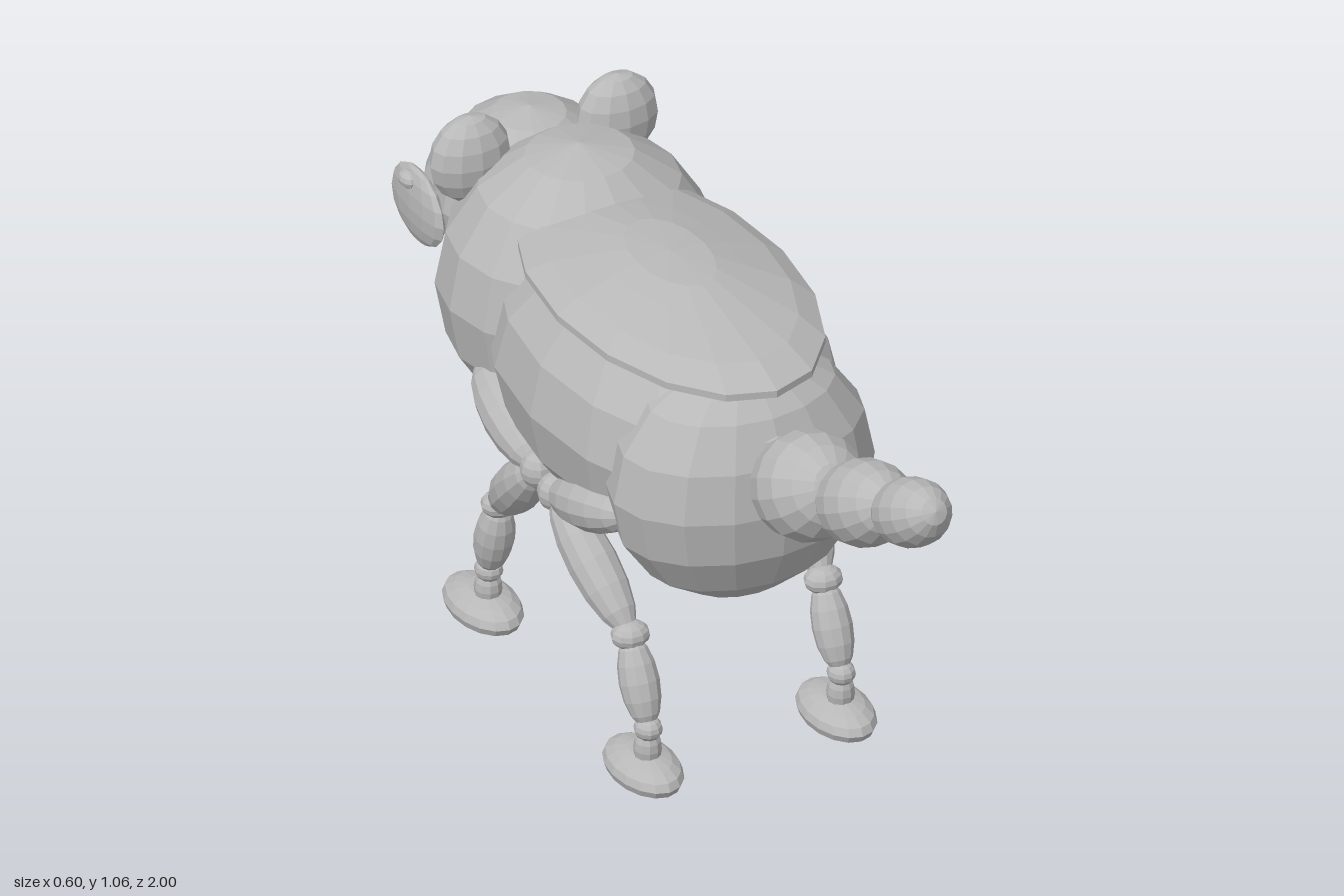
import * as THREE from 'three';

const grey = new THREE.MeshStandardMaterial({ color: 0xb8b8b8, flatShading: true });
grey.name = 'grey';

// Ellipsoid with vertical poles: centre and half sizes
function blob(parent, name, pos, radii, w = 16, h = 8) {
  const mesh = new THREE.Mesh(new THREE.SphereGeometry(1, w, h), grey);
  mesh.name = name;
  mesh.position.set(...pos);
  mesh.scale.set(...radii);
  parent.add(mesh);
  return mesh;
}

// Spindle: an ellipsoid whose poles lie on the two given points
function spindle(parent, name, from, to, radius, w = 12, h = 8) {
  const a = new THREE.Vector3(...from), b = new THREE.Vector3(...to);
  const axis = b.clone().sub(a);
  const mid = a.add(b).multiplyScalar(0.5);
  const mesh = blob(parent, name, mid.toArray(), [radius, axis.length() / 2, radius], w, h);
  mesh.quaternion.setFromUnitVectors(new THREE.Vector3(0, 1, 0), axis.normalize());
  return mesh;
}

export function createModel() {
  const model = new THREE.Group();
  model.name = 'animal';

  // Body
  blob(model, 'rump', [0, 0.66, 0.165], [0.275, 0.265, 0.19]);
  blob(model, 'belly', [0, 0.7, -0.13], [0.3, 0.285, 0.49]);
  blob(model, 'chest', [0, 0.733, -0.49], [0.283, 0.298, 0.265]);

  // Domed saddle on the back
  const profile = [[0, 0.9], [0.9, 0.892], [1, 0.905], [1, 0.92], [0.83, 0.948], [0.5, 0.975], [0.3, 0.99], [0, 0.995]];
  const saddle = new THREE.Mesh(
    new THREE.LatheGeometry(profile.map(p => new THREE.Vector2(...p)), 16), grey);
  saddle.name = 'saddle';
  saddle.scale.set(0.245, 1, 0.435);
  saddle.position.z = -0.12;
  model.add(saddle);

  // Head
  const head = new THREE.Group();
  head.name = 'head';
  model.add(head);
  blob(head, 'skull', [0, 0.81, -0.695], [0.188, 0.19, 0.19]);
  blob(head, 'snout', [0, 0.75, -0.87], [0.12, 0.07, 0.12], 16, 8);
  blob(head, 'lowerJaw', [0, 0.675, -0.87], [0.095, 0.022, 0.08], 12, 8);
  blob(head, 'nose', [0, 0.772, -0.968], [0.036, 0.032, 0.032], 12, 8);

  for (const s of [1, -1]) {
    const side = s > 0 ? 'left' : 'right';
    blob(head, side + 'Ear', [s * 0.16, 0.963, -0.637], [0.086, 0.094, 0.055], 12, 8);
    blob(head, side + 'Cheek', [s * 0.19, 0.777, -0.79], [0.022, 0.08, 0.103], 12, 8);
    blob(head, side + 'Eye', [s * 0.204, 0.83, -0.807], [0.018, 0.018, 0.026], 10, 6);
  }

  // Legs: points are [y, z] for the outer limb end, hip, knee, ankle and foot
  const legs = {
    Hind: { limb: [0.605, 0.14], hip: [0.513, -0.13], knee: [0.312, 0.11], ankle: [0.14, 0.183], foot: 0.163 },
    Fore: { limb: [0.615, -0.46], hip: [0.525, -0.2], knee: [0.312, -0.42], ankle: [0.135, -0.467], foot: -0.49 },
  };
  for (const s of [1, -1]) {
    for (const [label, p] of Object.entries(legs)) {
      const leg = new THREE.Group();
      leg.name = (s > 0 ? 'left' : 'right') + label + 'Leg';
      model.add(leg);
      const limb = [s * 0.23, ...p.limb], hip = [s * 0.245, ...p.hip];
      const knee = [s * 0.21, ...p.knee], ankle = [s * 0.21, ...p.ankle];
      spindle(leg, 'shoulder', limb, hip, 0.055);
      blob(leg, 'hipJoint', hip, [0.036, 0.04, 0.036], 10, 8);
      spindle(leg, 'thigh', hip, knee, 0.05);
      blob(leg, 'knee', knee, [0.04, 0.028, 0.034], 10, 8);
      spindle(leg, 'shin', knee, ankle, 0.04);
      blob(leg, 'ankle', ankle, [0.028, 0.025, 0.03], 10, 8);
      spindle(leg, 'pastern', ankle, [s * 0.21, 0.05, p.ankle[1] - 0.005], 0.028, 10, 8);
      blob(leg, 'foot', [s * 0.21, 0.043, p.foot], [0.068, 0.04, 0.11], 16, 8);
    }
  }

  // Tail: three beads rising backwards, [x, y, z, half length, radius]
  const beads = [
    [0, 0.778, 0.445, 0.13, 0.111],
    [-0.007, 0.878, 0.686, 0.134, 0.088],
    [-0.018, 0.979, 0.897, 0.116, 0.07],
  ];
  beads.forEach(([x, y, z, len, r], i) => {
    const dy = len * 0.5, dz = len * 0.866;
    spindle(model, 'tailSegment' + (i + 1), [x, y - dy, z - dz], [x, y + dy, z + dz], r, 16, 8);
  });

  return model;
}
